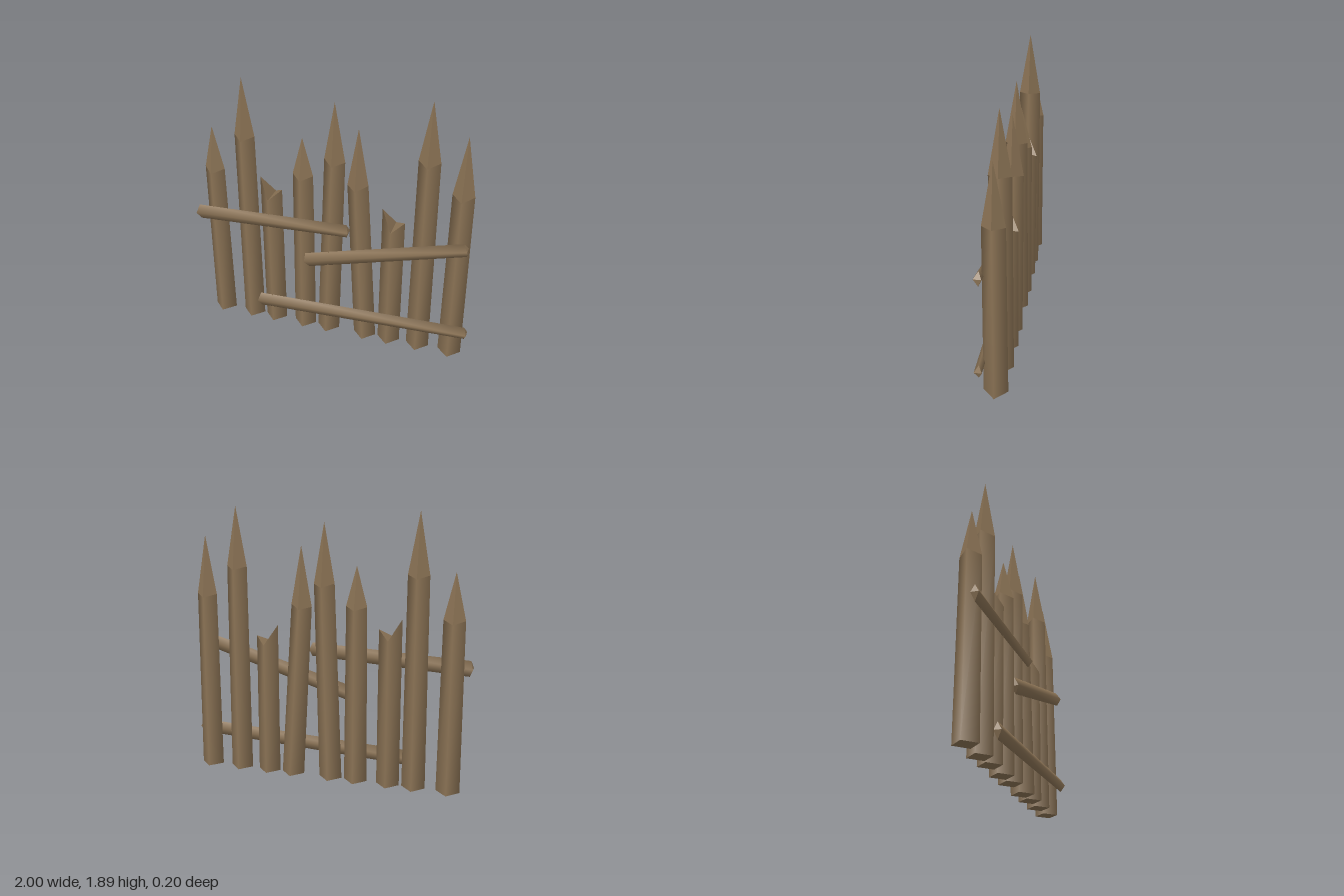
import * as THREE from 'three';

const wood = new THREE.MeshStandardMaterial({ color: 0x8b7355 });
wood.name = 'weathered wood';
const POST_Z = -0.018;

function meshOf(points, index, name, flat) {
  let geo = new THREE.BufferGeometry();
  geo.setAttribute('position', new THREE.Float32BufferAttribute(points.flat(), 3));
  geo.setIndex(index);
  if (flat) geo = geo.toNonIndexed();
  geo.computeVertexNormals();
  const mesh = new THREE.Mesh(geo, wood);
  mesh.name = name;
  return mesh;
}

// Smooth four-sided wall between two rings, counterclockwise about the a-to-b axis
function wall(a, b, name) {
  const index = [];
  for (let k = 0; k < 4; k++) {
    const n = (k + 1) % 4;
    index.push(k, n, 4 + n, k, 4 + n, 4 + k);
  }
  return meshOf([...a, ...b], index, name, false);
}

// Flat end made of two triangles, folded along corners 0 and 2
function cap(ring, name, reversed) {
  return meshOf(ring, reversed ? [0, 2, 1, 0, 3, 2] : [0, 1, 2, 0, 2, 3], name, true);
}

// Diamond ring: front, right, back, left; heights given per corner
function postRing(x, r, ys) {
  return [
    [x, ys[0], POST_Z + r], [x + r, ys[1], POST_Z],
    [x, ys[2], POST_Z - r], [x - r, ys[3], POST_Z],
  ];
}

// Stake with a sharpened point
function stake([x0, x1, shoulder, apexY]) {
  const g = new THREE.Group();
  g.name = 'pointedStake';
  const lean = (x1 - x0) * 0.1;
  const low = shoulder - 0.018;
  const base = postRing(x0, 0.082, [0, 0, 0, 0]);
  const top = postRing(x1, 0.073, [low, shoulder - lean, low, shoulder + lean]);
  const tip = [...top, [x1, apexY, POST_Z]];
  g.add(wall(base, top, 'stakeBody'), cap(base, 'stakeBase', true));
  g.add(meshOf(tip, [0, 1, 4, 1, 2, 4, 2, 3, 4, 3, 0, 4], 'stakePoint', true));
  return g;
}

// Stake snapped off into a V-shaped notch
function brokenStake([x, left, middle, right]) {
  const g = new THREE.Group();
  g.name = 'brokenStake';
  const base = postRing(x, 0.081, [0, 0, 0, 0]);
  const top = postRing(x, 0.079, [middle, right, middle, left]);
  g.add(wall(base, top, 'stakeBody'), cap(base, 'stakeBase', true), cap(top, 'brokenTop', false));
  return g;
}

// Diamond-section rail with slightly wedge-shaped ends
function rail([xa, ya, za, xb, yb, zb]) {
  const g = new THREE.Group();
  g.name = 'rail';
  const len = Math.hypot(xb - xa, yb - ya);
  const dx = (xb - xa) / len, dy = (yb - ya) / len;
  const ring = (x, y, z, h, push) => [
    [x + dx * push, y + dy * push, z - 0.022],
    [x - dy * h, y + dx * h, z],
    [x + dx * push, y + dy * push, z + 0.03],
    [x + dy * h, y - dx * h, z],
  ];
  const a = ring(xa, ya, za, 0.055, -0.018);
  const b = ring(xb, yb, zb, 0.049, 0.018);
  g.add(wall(a, b, 'railBody'), cap(a, 'railEnd', true), cap(b, 'railEnd', false));
  return g;
}

export function createModel() {
  const fence = new THREE.Group();
  fence.name = 'palisadeFence';

  // base x, top x, shoulder height, apex height
  const stakes = [
    [-0.873, -0.873, 1.2, 1.515], [-0.634, -0.632, 1.483, 1.895],
    [-0.22, -0.218, 1.25, 1.525], [-0.037, 0.008, 1.393, 1.805],
    [0.243, 0.17, 1.235, 1.645], [0.64, 0.64, 1.483, 1.895],
    [0.875, 0.873, 1.277, 1.69],
  ];
  for (const s of stakes) fence.add(stake(s));

  // x, left height, notch height, right height
  for (const s of [[-0.453, 1.185, 1.045, 1.105], [0.424, 1.085, 0.95, 1.0]]) {
    fence.add(brokenStake(s));
  }

  // start x, y, z and end x, y, z
  const rails = [
    [-0.982, 0.863, 0.054, 0.118, 0.91, 0.06],
    [-0.172, 0.61, 0.052, 0.93, 0.925, 0.067],
    [-0.542, 0.182, 0.057, 0.98, 0.247, 0.069],
  ];
  for (const r of rails) fence.add(rail(r));

  return fence;
}
